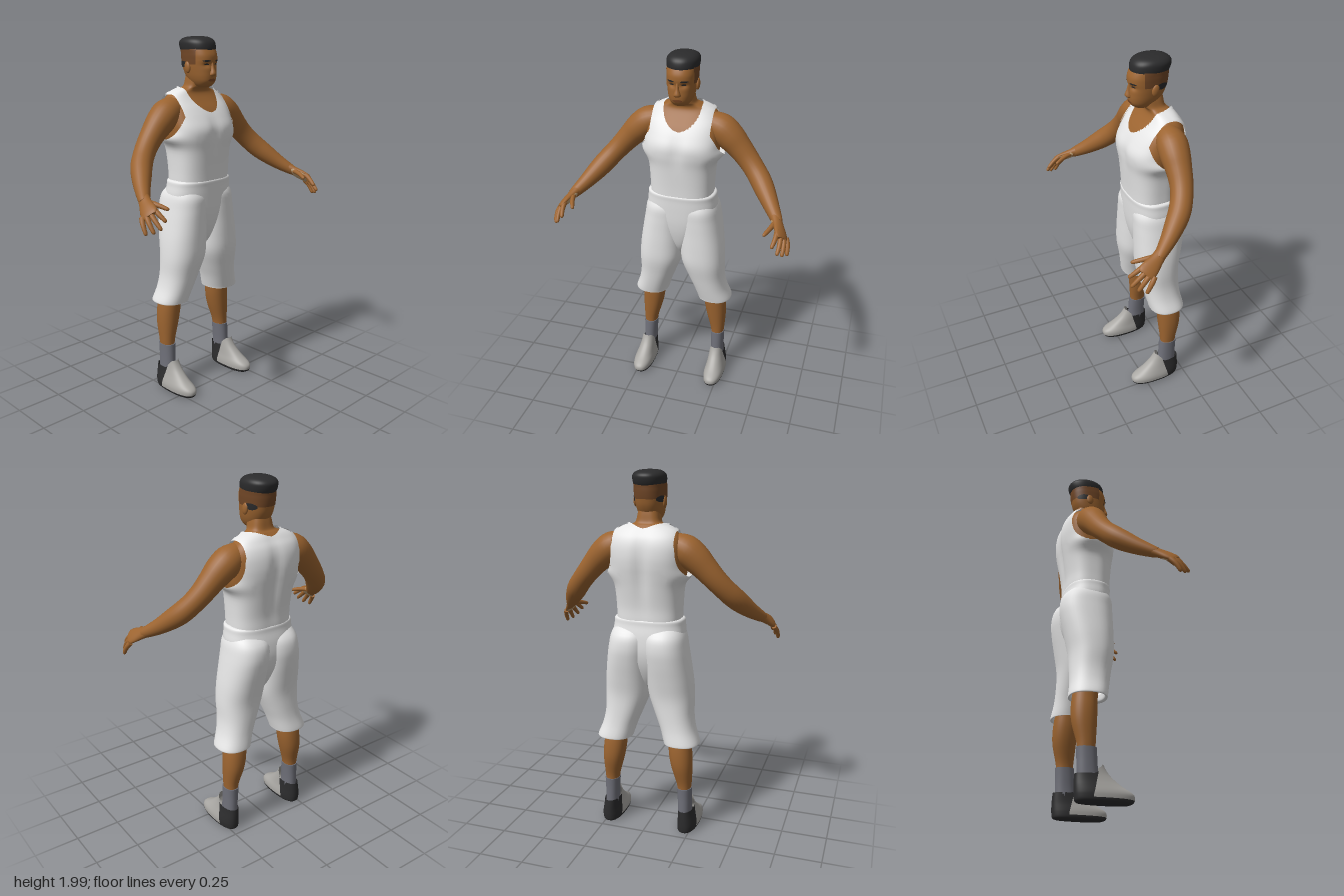
import * as THREE from 'three';

const mat = (name, color, side = THREE.FrontSide) => {
  const m = new THREE.MeshStandardMaterial({ color, side });
  m.name = name;
  return m;
};

// Catmull-Rom subdivision of a table of rows
function refine(rows, k) {
  const out = [], at = i => rows[Math.min(Math.max(i, 0), rows.length - 1)];
  for (let i = 0; i < rows.length - 1; i++)
    for (let s = 0; s < k; s++) {
      const t = s / k;
      out.push(rows[i].map((b, c) => {
        const a = at(i - 1)[c], n = at(i + 1)[c], d = at(i + 2)[c];
        return b + 0.5 * t * (n - a + t * (2 * a - 5 * b + 4 * n - d + t * (3 * (b - n) + d - a)));
      }));
    }
  out.push(rows[rows.length - 1]);
  return out;
}

// Surface through closed rings of equal length
function skinRings(rings, capStart, capEnd) {
  const cap = r => {
    const c = r.reduce((s, p) => s.add(p), new THREE.Vector3()).divideScalar(r.length);
    return [r.map(() => c), r];
  };
  if (capStart) rings = [...cap(rings[0]), ...rings];
  if (capEnd) rings = [...rings, ...cap(rings[rings.length - 1]).reverse()];
  const n = rings[0].length, pos = [], idx = [];
  rings.forEach(r => r.forEach(p => pos.push(p.x, p.y, p.z)));
  for (let i = 0; i < rings.length - 1; i++)
    for (let j = 0; j < n; j++) {
      const a = i * n + j, b = i * n + (j + 1) % n;
      idx.push(a, b, a + n, b, b + n, a + n);
    }
  const g = new THREE.BufferGeometry();
  g.setAttribute('position', new THREE.Float32BufferAttribute(pos, 3));
  g.setIndex(idx);
  g.computeVertexNormals();
  return g;
}

// Upright loft, rows bottom to top: [y, xMin, xMax, zFront, zBack]
function loft(rows, { n = 2.2, sides = 32, k = 4, bottom = false, top = false } = {}) {
  const pw = v => Math.sign(v) * Math.abs(v) ** (2 / n);
  return skinRings(refine(rows, k).map(([y, x0, x1, zf, zb]) =>
    Array.from({ length: sides }, (_, j) => {
      const a = j / sides * Math.PI * 2;
      return new THREE.Vector3((x0 + x1) / 2 + (x1 - x0) / 2 * pw(Math.cos(a)), y,
        (zf + zb) / 2 - (zf - zb) / 2 * pw(Math.sin(a)));
    })), bottom, top);
}
const sym = rows => rows.map(([y, w, zf, zb]) => [y, -w, w, zf, zb]);

// Limb along a path, rows: [x, y, z, radius across ref, other radius]
function limb(rows, ref, sides = 24, k = 4) {
  const r = refine(rows.map(p => [p[0], p[1], p[2], p[3], p[4] ?? p[3]]), k);
  const P = r.map(p => new THREE.Vector3(p[0], p[1], p[2]));
  return skinRings(r.map((p, i) => {
    const t = P[Math.min(i + 1, P.length - 1)].clone().sub(P[Math.max(i - 1, 0)]).normalize();
    const u = ref.clone().addScaledVector(t, -ref.dot(t)).normalize(), v = t.clone().cross(u);
    return Array.from({ length: sides }, (_, j) => {
      const a = j / sides * Math.PI * 2;
      return P[i].clone().addScaledVector(u, p[3] * Math.cos(a)).addScaledVector(v, p[4] * Math.sin(a));
    });
  }), true, true);
}

// Move vertices by a rule
function warp(g, fn) {
  const p = g.attributes.position, v = new THREE.Vector3();
  for (let i = 0; i < p.count; i++) { fn(v.fromBufferAttribute(p, i), i); p.setXYZ(i, v.x, v.y, v.z); }
  g.computeVertexNormals();
  return g;
}
function inflate(g, d) {
  const c = g.clone(), n = g.attributes.normal;
  return warp(c, (v, i) => { v.x += n.getX(i) * d; v.y += n.getY(i) * d; v.z += n.getZ(i) * d; });
}

// Keep the part of a surface where f(x, y, z) > 0, with a clean cut edge
function slice(geo, f) {
  const g = geo.toNonIndexed(), p = g.attributes.position, n = g.attributes.normal, pos = [], nor = [];
  for (let i = 0; i < p.count; i += 3) {
    const poly = [], t = [0, 1, 2].map(k => {
      const q = [p.getX(i + k), p.getY(i + k), p.getZ(i + k)];
      return { f: f(...q), q: [...q, n.getX(i + k), n.getY(i + k), n.getZ(i + k)] };
    });
    t.forEach((a, k) => {
      const b = t[(k + 1) % 3];
      if (a.f > 0) poly.push(a.q);
      if ((a.f > 0) !== (b.f > 0)) poly.push(a.q.map((v, c) => v + (b.q[c] - v) * a.f / (a.f - b.f)));
    });
    for (let k = 1; k < poly.length - 1; k++)
      [poly[0], poly[k], poly[k + 1]].forEach(q => { pos.push(...q.slice(0, 3)); nor.push(...q.slice(3)); });
  }
  const out = new THREE.BufferGeometry();
  out.setAttribute('position', new THREE.Float32BufferAttribute(pos, 3));
  out.setAttribute('normal', new THREE.Float32BufferAttribute(nor, 3));
  return out;
}

function mirrored(g) {
  const c = g.clone().scale(-1, 1, 1);
  const idx = c.index ? Array.from(c.index.array) : Array.from({ length: c.attributes.position.count }, (_, i) => i);
  return c.setIndex(idx.reverse());
}

export function createModel() {
  const model = new THREE.Group();
  const skin = mat('skin', 0x9c6430), white = mat('whiteCloth', 0xe6e6e6, THREE.DoubleSide);
  const hair = mat('hairBlack', 0x2b2b2c), scalp = mat('shavedScalp', 0x704626), lip = mat('lips', 0x7c4826);
  const palmTan = mat('palmTan', 0xc6a57a), sock = mat('sockGrey', 0x70717a);
  const shoeGrey = mat('shoeGrey', 0xaaa8a4, THREE.DoubleSide), rubber = mat('shoeBlack', 0x2c2c2d, THREE.DoubleSide);
  const add = (name, g, m) => {
    const mesh = new THREE.Mesh(g, m);
    mesh.name = name;
    model.add(mesh);
  };
  const pair = (name, g, m) => { add('left' + name, g, m); add('right' + name, mirrored(g), m); };
  const bump = (d, w) => Math.exp(-((d / w) ** 2));

  // Torso and neck, with a spine groove and a shallow chest line
  const torso = warp(loft(sym([
    [1.2, .165, .005, -.225], [1.23, .168, .005, -.228], [1.3, .17, .009, -.23], [1.4, .177, .018, -.245],
    [1.47, .195, .028, -.257], [1.52, .2, .026, -.265], [1.57, .2, .002, -.268], [1.62, .198, -.03, -.263],
    [1.66, .185, -.062, -.25], [1.69, .163, -.083, -.23], [1.71, .13, -.09, -.215], [1.725, .09, -.085, -.2],
    [1.74, .067, -.072, -.186], [1.78, .058, -.062, -.178], [1.82, .05, -.065, -.17],
  ]), { n: 2.7, sides: 96, k: 5 }), v => {
    const back = v.z < -.13;
    v.z += (back ? .016 * bump(v.y - 1.5, .17) : -.01 * bump(v.y - 1.5, .07)) * bump(v.x, .035);
  });
  add('torso', torso, skin);

  // Sleeveless shirt: shell cut at neckline, armholes and hem
  const cut = (x, y, z) => {
    const neck = y < 1.56 ? 1 : (x / .105) ** 2 + ((z + .115) / .11) ** 2 - 1;
    const oval = ((z + .135) / .105) ** 2 + (Math.min(y - 1.6, 0) / .135) ** 2 - 1;
    return Math.min(neck, Math.max(oval, (.165 - Math.abs(x)) * 12));
  };
  const flare = g => warp(g, v => {
    if (Math.abs(v.x) > .12) v.x += Math.sign(v.x) * .026 * bump(v.y - 1.47, .035) * bump(v.z + .12, .09);
  });
  const shirt = flare(inflate(torso, .008)), rim = flare(inflate(torso, .012));
  add('shirt', slice(shirt, (x, y, z) => Math.min(cut(x, y, z), y - 1.222)), white);
  add('shirtTrim', slice(rim, (x, y, z) => Math.min(cut(x, y, z), .2 - cut(x, y, z), y - 1.44)), white);

  // Shorts
  add('shortsSeat', loft(sym([
    [.84, .012, -.07, -.16], [.9, .05, -.03, -.2], [.98, .12, -.005, -.235], [1.06, .18, .008, -.252],
    [1.14, .199, .013, -.25], [1.2, .194, .015, -.24], [1.23, .19, .016, -.237], [1.238, .165, 0, -.22],
  ]), { n: 2.5, sides: 48 }), white);
  pair('ShortsLeg', loft([
    [.58, .115, .265, -.06, -.22], [.55, .112, .276, -.058, -.228], [.54, .098, .288, -.046, -.24],
    [.55, .094, .292, -.043, -.243], [.62, .072, .266, -.028, -.232], [.7, .04, .252, -.012, -.228],
    [.8, .003, .251, .008, -.23], [.9, -.008, .244, .012, -.248], [1, -.014, .23, .012, -.268],
    [1.08, -.02, .217, .012, -.277], [1.15, -.02, .203, .008, -.262], [1.21, .01, .17, -.03, -.2],
  ], { n: 2.3, sides: 40 }), white);

  // Legs, socks and shoes
  pair('Leg', loft([
    [.24, .18, .25, -.11, -.2], [.3, .173, .255, -.108, -.203], [.4, .145, .26, -.1, -.226],
    [.48, .13, .257, -.095, -.229], [.56, .125, .247, -.09, -.22], [.66, .12, .24, -.07, -.2],
  ]), skin);
  pair('Sock', loft([
    [.08, .18, .257, -.09, -.2], [.16, .181, .256, -.097, -.202], [.22, .178, .256, -.1, -.203],
    [.275, .174, .257, -.103, -.206],
  ], { top: true }), sock);
  const shoe = loft([
    [.006, .18, .265, .055, -.2], [.015, .17, .282, .078, -.212], [.04, .168, .286, .085, -.216],
    [.06, .17, .284, .073, -.217], [.085, .175, .277, .03, -.217], [.11, .178, .27, -.005, -.216],
    [.14, .18, .264, -.038, -.214], [.17, .182, .261, -.06, -.213], [.195, .184, .259, -.072, -.212],
  ], { n: 2.4, sides: 64, bottom: true });
  const collar = (y, z) => .142 + .048 * Math.min(Math.max((z + .12) / .04, 0), 1) - y;
  const dark = (y, z) => Math.max(-.125 + (y - .07) * .25 - z, .026 - y);
  pair('ShoeUpper', slice(shoe, (x, y, z) => Math.min(collar(y, z), -dark(y, z))), shoeGrey);
  pair('ShoeHeelAndSole', slice(shoe, (x, y, z) => Math.min(collar(y, z), dark(y, z))), rubber);

  // Arms
  pair('Arm', limb([
    [.13, 1.63, -.14, .06], [.2, 1.603, -.14, .079], [.255, 1.56, -.135, .077], [.305, 1.51, -.13, .067],
    [.355, 1.455, -.12, .06], [.4, 1.405, -.1, .057], [.44, 1.36, -.07, .057], [.475, 1.32, -.03, .053],
    [.52, 1.27, .03, .042], [.56, 1.23, .09, .031], [.572, 1.219, .11, .026],
  ], new THREE.Vector3(0, 0, 1)), skin);

  // Hands: flat palm, four fingers and a thumb
  const across = new THREE.Vector3(.6, -.66, -.46), palmOut = new THREE.Vector3(-.74, -.67, 0);
  const hand = limb([
    [.553, 1.237, .08, .031, .029], [.575, 1.215, .12, .035, .023], [.595, 1.195, .16, .044, .019],
    [.607, 1.181, .188, .045, .015], [.613, 1.175, .2, .034, .009],
  ], across);
  pair('Hand', hand, skin);
  pair('Palm', slice(inflate(hand, .002), (x, y, z) =>
    Math.min((x - .595) * palmOut.x + (y - 1.195) * palmOut.y - .008, z - .12)), palmTan);
  const digits = {
    IndexFinger: [[.582, 1.21, .18], [.57, 1.15, .268]], MiddleFinger: [[.6, 1.19, .18], [.6, 1.115, .268]],
    RingFinger: [[.615, 1.172, .175], [.622, 1.095, .24]], LittleFinger: [[.627, 1.16, .155], [.643, 1.085, .205]],
    Thumb: [[.56, 1.222, .115], [.52, 1.195, .232]],
  };
  for (const [name, [a, b]] of Object.entries(digits)) {
    const at = (t, r) => [0, 1, 2].map(c => a[c] + (b[c] - a[c]) * t - palmOut.getComponent(c) * .03 * t * (1 - t)).concat(r);
    pair(name, limb([at(0, .014), at(.3, .0135), at(.6, .012), at(.9, .01), at(.98, .006), at(1, .001)], across, 12, 3), skin);
  }

  // Head, with eye sockets pressed in
  const head = warp(loft(sym([
    [1.735, .03, -.035, -.11], [1.745, .045, -.018, -.13], [1.765, .058, -.002, -.155], [1.79, .067, .003, -.175],
    [1.82, .073, .003, -.19], [1.85, .077, .002, -.198], [1.88, .079, .005, -.203], [1.91, .08, .001, -.205],
    [1.95, .077, -.02, -.203], [1.98, .05, -.05, -.17],
  ]), { n: 2.3, sides: 112, k: 7, bottom: true, top: true }), v => {
    if (v.z > -.06) v.z -= .009 * bump(Math.abs(v.x) - .032, .018) * bump(v.y - 1.853, .013);
  });
  add('head', head, skin);
  add('nose', loft(sym([
    [1.793, .008, .006, -.02], [1.799, .019, .018, -.02], [1.81, .018, .023, -.02],
    [1.835, .01, .014, -.02], [1.865, .007, .005, -.02],
  ]), { sides: 20, bottom: true, top: true }), skin);

  // Thin painted details lying on the head
  const shell = inflate(head, .002);
  const spot = (u, cu, ru, v, cv, rv) => 1 - ((u - cu) / ru) ** 2 - ((v - cv) / rv) ** 2;
  const front = f => (x, y, z) => z > -.07 ? f(Math.abs(x), y) : -1;
  add('eyebrows', slice(shell, front((x, y) => spot(x, .036, .021, y, 1.874, .005))), hair);
  add('eyes', slice(shell, front((x, y) => spot(x, .033, .013, y, 1.856, .0045))), hair);
  add('lips', slice(shell, front((x, y) => spot(x, 0, .026, y, 1.773, .008))), lip);
  add('shavedSides', slice(shell, (x, y, z) => Math.min(y - 1.855, -.05 - z)), scalp);
  add('sidePatches', slice(inflate(head, .004), (x, y, z) =>
    Math.abs(x) < .03 ? -1 : spot(z, -.145, .036, y, 1.855, .017)), hair);
  pair('Ear', new THREE.SphereGeometry(1, 20, 14).scale(.011, .031, .02).rotateX(-.15).translate(.079, 1.84, -.108), skin);

  // Flat-topped hair
  add('hair', loft(sym([
    [1.918, .077, -.016, -.204], [1.93, .082, -.008, -.212], [1.95, .085, -.008, -.219], [1.97, .084, -.014, -.22],
    [1.986, .073, -.03, -.205], [1.996, .052, -.055, -.175], [2, .02, -.09, -.13],
  ]), { n: 2.2, sides: 48, bottom: true, top: true }), hair);
  return model;
}
